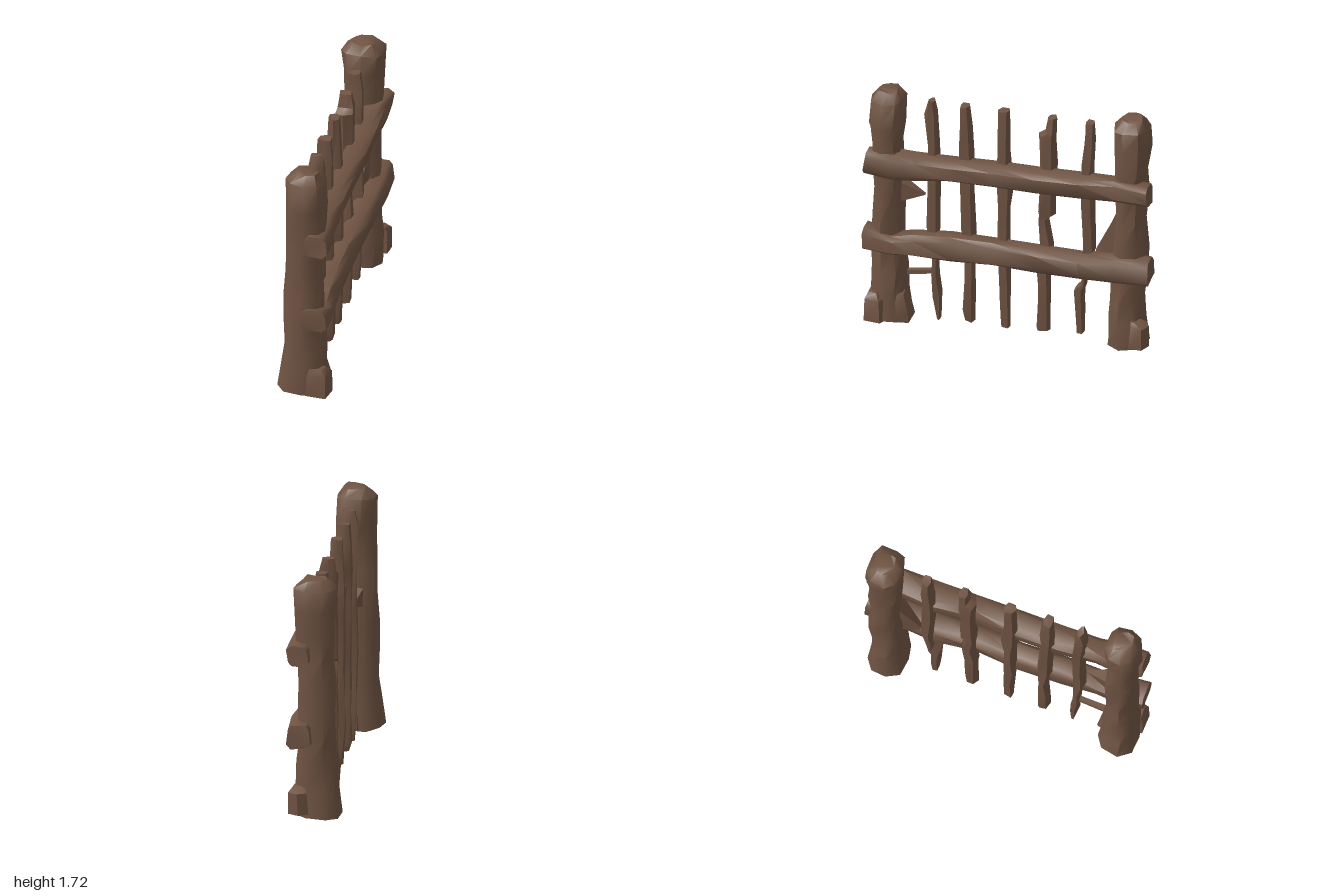
import * as THREE from 'three';
import { toCreasedNormals } from 'three/addons/utils/BufferGeometryUtils.js';

const wood = new THREE.MeshStandardMaterial({ color: 0x705443 });
wood.name = 'weatheredWood';

// Small seeded generator for the hewn, uneven surface
let seed = 7;
const rand = () => {
  seed = (seed * 16807) % 2147483647;
  return seed / 2147483647 - 0.5;
};

// Loft along 'y' or 'z'. Section: [position, uMin, uMax, vMin, vMax];
// (u, v) is (z, x) for the y axis and (x, y) for the z axis.
function loft(name, axis, sections, { sides = 8, square = 0.7, rough = 0.012, turn = 0, crease = 0.75 } = {}) {
  const pos = [], index = [];
  const put = (u, v, w) => (axis === 'y' ? pos.push(v, w, u) : pos.push(u, v, w));
  const bend = (t) => Math.sign(t) * Math.pow(Math.abs(t), square);
  for (const [w, u0, u1, v0, v1] of sections) {
    const ring = [];
    for (let k = 0; k < sides; k++) {
      const a = ((k + turn) / sides) * Math.PI * 2;
      ring.push([bend(Math.cos(a)), bend(Math.sin(a))]);
    }
    const mu = Math.max(...ring.map((p) => Math.abs(p[0])));
    const mv = Math.max(...ring.map((p) => Math.abs(p[1])));
    for (const [a, b] of ring) {
      put((u0 + u1) / 2 + (a / mu) * (u1 - u0) / 2 + rand() * rough,
        (v0 + v1) / 2 + (b / mv) * (v1 - v0) / 2 + rand() * rough,
        w + rand() * rough);
    }
  }
  const rows = sections.length;
  for (let r = 0; r < rows - 1; r++) {
    for (let k = 0; k < sides; k++) {
      const a = r * sides + k, b = r * sides + (k + 1) % sides;
      index.push(a, b, b + sides, a, b + sides, a + sides);
    }
  }
  // End caps
  const last = (rows - 1) * sides;
  for (let k = 1; k < sides - 1; k++) {
    index.push(0, k + 1, k, last, last + k, last + k + 1);
  }
  const g = new THREE.BufferGeometry();
  g.setAttribute('position', new THREE.Float32BufferAttribute(pos, 3));
  g.setIndex(index);
  const mesh = new THREE.Mesh(toCreasedNormals(g, crease), wood);
  mesh.name = name;
  return mesh;
}

export function createModel() {
  const fence = new THREE.Group();
  fence.name = 'fence';

  // Thick end posts: [y, zMin, zMax, xMin, xMax]
  const postOptions = { sides: 9, square: 0.8, rough: 0.02, crease: 0.9 };
  fence.add(loft('frontPost', 'y', [
    [0.012, 0.69, 0.98, -0.18, 0.16], [0.2, 0.73, 0.97, -0.15, 0.15],
    [0.36, 0.72, 0.97, -0.14, 0.14], [0.55, 0.74, 0.97, -0.14, 0.12],
    [0.75, 0.74, 0.96, -0.14, 0.13], [0.95, 0.74, 0.95, -0.13, 0.11],
    [1.15, 0.74, 0.96, -0.13, 0.13], [1.32, 0.75, 0.96, -0.12, 0.14],
    [1.45, 0.74, 0.98, -0.12, 0.15], [1.65, 0.73, 0.96, -0.13, 0.15],
    [1.71, 0.78, 0.91, -0.06, 0.09],
  ], postOptions));
  fence.add(loft('backPost', 'y', [
    [0.012, -0.95, -0.67, -0.17, 0.14], [0.2, -0.93, -0.68, -0.15, 0.14],
    [0.36, -0.92, -0.69, -0.16, 0.13], [0.55, -0.93, -0.7, -0.14, 0.12],
    [0.75, -0.94, -0.71, -0.14, 0.12], [0.95, -0.92, -0.72, -0.14, 0.11],
    [1.15, -0.94, -0.73, -0.13, 0.12], [1.32, -0.94, -0.72, -0.13, 0.13],
    [1.5, -0.96, -0.71, -0.14, 0.14], [1.65, -0.96, -0.72, -0.15, 0.14],
    [1.71, -0.91, -0.78, -0.08, 0.07],
  ], postOptions));

  // Split chunks at the post feet
  fence.add(loft('frontFootChunk', 'y', [
    [0.015, 0.82, 0.99, 0.0, 0.19], [0.17, 0.83, 0.985, 0.02, 0.185], [0.22, 0.88, 0.96, 0.04, 0.15],
  ], { sides: 5, turn: 0.5 }));
  fence.add(loft('frontFootFlare', 'y', [
    [0.015, 0.67, 0.8, -0.05, 0.15], [0.1, 0.68, 0.8, -0.04, 0.15], [0.21, 0.72, 0.8, 0, 0.12],
  ], { sides: 5 }));
  fence.add(loft('backFootChunk', 'y', [
    [0.04, -0.975, -0.84, 0.02, 0.17], [0.2, -0.975, -0.86, 0.04, 0.17], [0.23, -0.91, -0.86, 0.06, 0.14],
  ], { sides: 5, turn: 0.5 }));

  // Horizontal rails: [z, xMin, xMax, yMin, yMax]
  const railOptions = { sides: 8, square: 0.55, rough: 0.016, turn: 0.5, crease: 0.9 };
  fence.add(loft('upperRail', 'z', [
    [-0.985, 0.02, 0.165, 1.12, 1.26], [-0.75, 0, 0.17, 1.13, 1.28],
    [-0.5, -0.02, 0.165, 1.12, 1.265], [-0.2, 0, 0.16, 1.11, 1.27],
    [0.1, -0.02, 0.15, 1.11, 1.265], [0.4, -0.02, 0.15, 1.12, 1.26],
    [0.65, 0, 0.155, 1.1, 1.265], [0.8, 0, 0.17, 1.1, 1.28], [0.98, 0.02, 0.175, 1.12, 1.265],
  ], railOptions));
  fence.add(loft('lowerRail', 'z', [
    [-0.985, 0.01, 0.165, 0.53, 0.7], [-0.75, 0, 0.175, 0.52, 0.7],
    [-0.5, -0.01, 0.165, 0.51, 0.67], [-0.2, 0.01, 0.165, 0.52, 0.69],
    [0.1, -0.01, 0.15, 0.515, 0.685], [0.4, -0.01, 0.15, 0.515, 0.69],
    [0.65, 0, 0.155, 0.52, 0.68], [0.8, -0.01, 0.17, 0.52, 0.65], [0.99, 0.0, 0.175, 0.54, 0.7],
  ], railOptions));

  // Thin uprights: [y, zMin, zMax], with a shared depth
  const pickets = [
    [[0.02, 0.49, 0.51], [0.2, 0.475, 0.54], [0.36, 0.5, 0.545], [0.52, 0.5, 0.55], [0.7, 0.49, 0.59],
      [1, 0.485, 0.58], [1.3, 0.495, 0.58], [1.55, 0.51, 0.6], [1.66, 0.525, 0.575]],
    [[0.035, 0.25, 0.32], [0.09, 0.25, 0.335], [0.3, 0.25, 0.325], [0.5, 0.25, 0.32], [0.7, 0.245, 0.34],
      [1.1, 0.26, 0.355], [1.32, 0.26, 0.37], [1.5, 0.27, 0.36], [1.65, 0.28, 0.355]],
    [[0.025, 0.005, 0.075], [0.3, 0, 0.085], [0.5, 0, 0.09], [0.7, 0.005, 0.09],
      [0.9, 0.005, 0.09], [1.1, -0.02, 0.1], [1.3, 0, 0.1], [1.65, 0.005, 0.09]],
    [[0.035, -0.27, -0.18], [0.3, -0.28, -0.185], [0.5, -0.28, -0.18], [0.68, -0.29, -0.2],
      [0.88, -0.26, -0.19], [0.91, -0.315, -0.19], [1.1, -0.31, -0.2], [1.3, -0.32, -0.195],
      [1.51, -0.315, -0.19], [1.54, -0.315, -0.24], [1.64, -0.315, -0.25]],
    [[0.05, -0.51, -0.45], [0.2, -0.515, -0.445], [0.38, -0.515, -0.44], [0.42, -0.525, -0.49], [0.55, -0.54, -0.49],
      [0.7, -0.59, -0.5], [1, -0.58, -0.485], [1.3, -0.58, -0.49], [1.5, -0.585, -0.51], [1.64, -0.58, -0.515]],
  ];
  pickets.forEach((rows, i) => {
    const sections = rows.map(([y, z0, z1], r) => {
      const end = r === 0 || r === rows.length - 1 ? 0.015 : 0;
      return [y, z0, z1, -0.05 + end, 0.06 - end];
    });
    fence.add(loft('picket' + (i + 1), 'y', sections, { sides: 6, square: 0.8, rough: 0.013 }));
  });

  // Splinters and torn wood beside the posts
  const torn = { sides: 4, turn: 0.5, rough: 0.004, crease: 0.4 };
  fence.add(loft('frontPostSplinter', 'z', [
    [0.595, -0.005, 0.005, 0.935, 0.945], [0.77, -0.06, 0.05, 0.88, 1.03],
  ], torn));
  fence.add(loft('thinSplinter', 'z', [
    [0.5, -0.015, 0.015, 0.355, 0.385], [0.72, -0.02, 0.02, 0.32, 0.35],
  ], torn));
  fence.add(loft('backPostTear', 'z', [
    [-0.78, -0.05, 0.07, 0.6, 1.1], [-0.71, -0.03, 0.06, 0.62, 0.93], [-0.595, 0, 0.03, 0.64, 0.7],
  ], torn));
  return fence;
}
